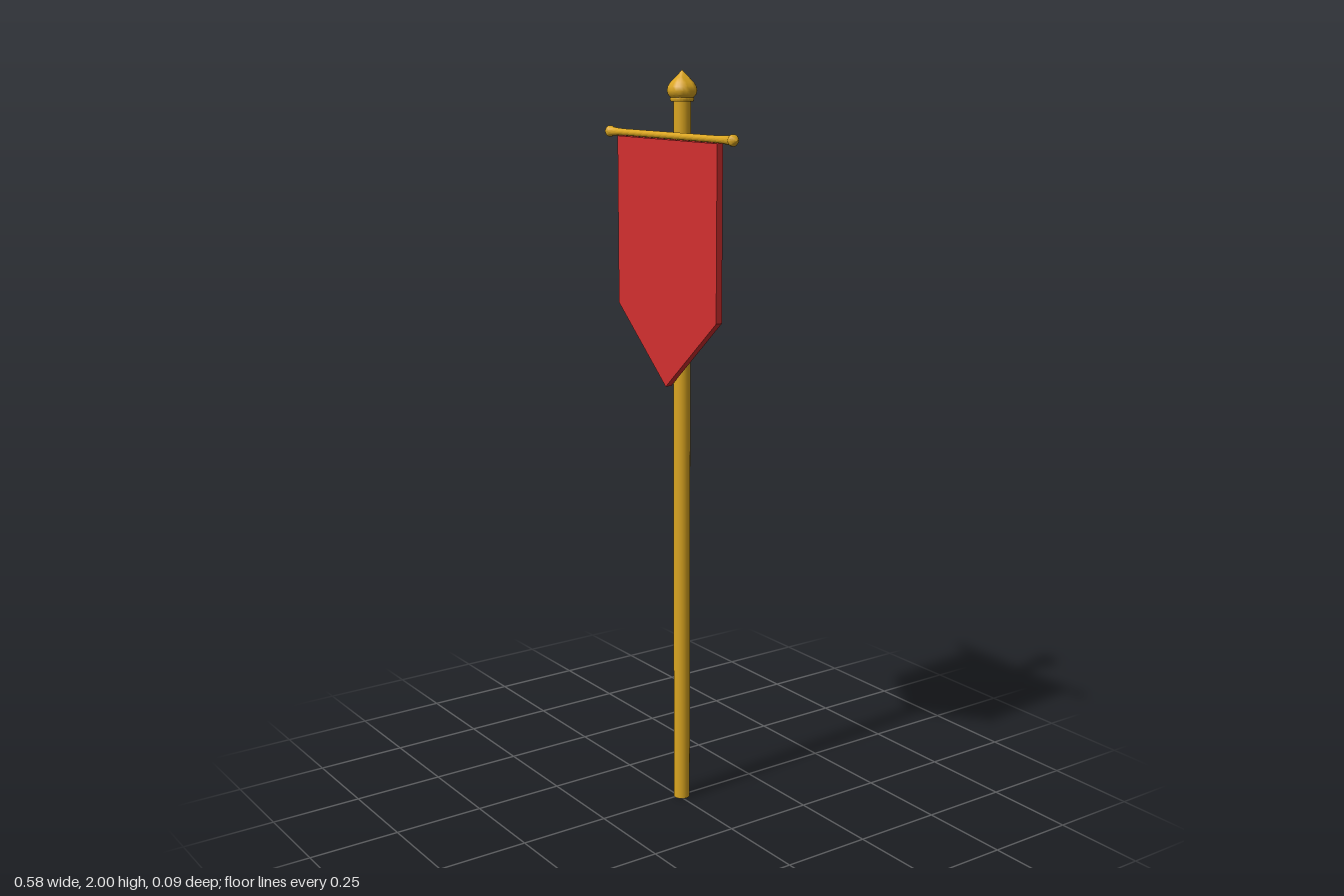
import * as THREE from 'three';
import { toCreasedNormals } from 'three/addons/utils/BufferGeometryUtils.js';

const gold = new THREE.MeshStandardMaterial({ color: 0xdaa520 });
const red = new THREE.MeshStandardMaterial({ color: 0xd32f2f });

function part(name, geometry, material) {
  const mesh = new THREE.Mesh(geometry, material);
  mesh.name = name;
  return mesh;
}

// Turned part from [radius, height] pairs, with crisp edges kept
function turned(points, sides) {
  const profile = points.map(([r, y]) => new THREE.Vector2(r, y));
  return toCreasedNormals(new THREE.LatheGeometry(profile, sides), 0.6);
}

export function createModel() {
  const group = new THREE.Group();

  // Upright pole
  const poleX = 0.003, poleZ = -0.009;
  const pole = part('pole', new THREE.CylinderGeometry(0.0225, 0.0225, 1.93, 24), gold);
  pole.position.set(poleX, 0.965, poleZ);
  group.add(pole);

  // Pointed finial with a collar beneath
  const finial = part('finial', turned([
    [0, 1.921], [0.029, 1.921], [0.031, 1.926], [0.030, 1.931],
    [0.036, 1.937], [0.039, 1.947], [0.037, 1.958], [0.030, 1.969],
    [0.018, 1.981], [0.008, 1.991], [0, 2.0],
  ], 24), gold);
  finial.position.set(poleX, 0, poleZ);
  group.add(finial);

  // Crossbar flaring to a pointed knob at each end; half profile is mirrored
  const half = [
    [0.009, 0.2], [0.0098, 0.235], [0.0125, 0.268], [0.0145, 0.271],
    [0.0148, 0.277], [0.0125, 0.281], [0.006, 0.287], [0, 0.291],
  ];
  const mirrored = half.map(([r, y]) => [r, -y]).reverse();
  const crossbar = part('crossbar', turned([...mirrored, ...half], 20), gold);
  crossbar.rotation.z = -Math.PI / 2;
  crossbar.position.set(0, 1.836, 0.031);
  group.add(crossbar);

  // Cloth banner with a pointed lower edge
  const outline = new THREE.Shape([
    [-0.223, 1.826], [-0.223, 1.38], [0, 1.183], [0.223, 1.38], [0.223, 1.826],
  ].map(([x, y]) => new THREE.Vector2(x, y)));
  const banner = part('banner',
    new THREE.ExtrudeGeometry(outline, { depth: 0.018, bevelEnabled: false }), red);
  banner.position.set(-0.002, 0, 0.022);
  group.add(banner);

  return group;
}
